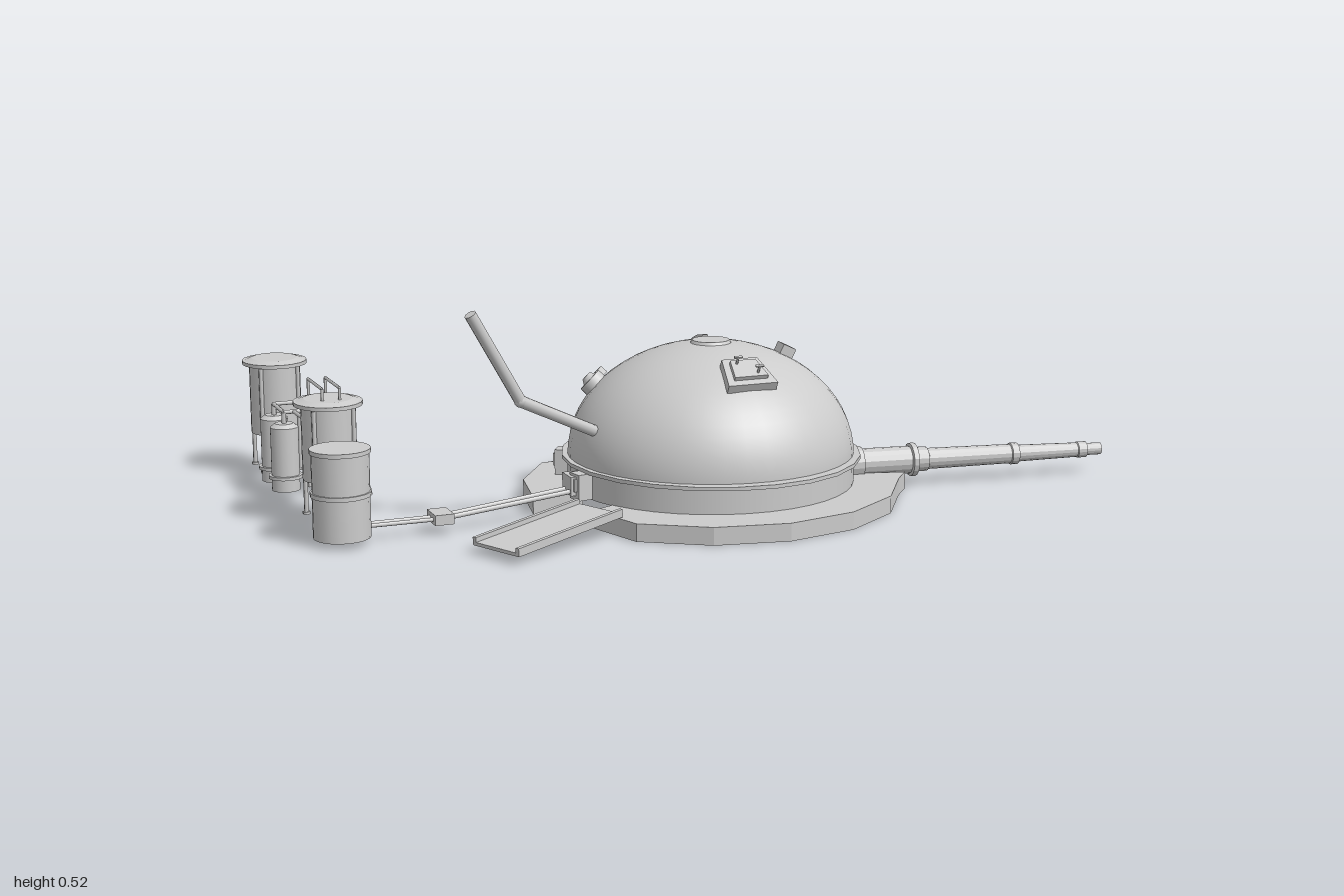
import * as THREE from 'three';

const V = (x, y, z) => new THREE.Vector3(x, y, z);
const smooth = new THREE.MeshStandardMaterial({ color: 0xcccccc });
const flat = new THREE.MeshStandardMaterial({ color: 0xcccccc, flatShading: true });
const CZ = 0.125, R = 0.345, H = 0.27, Y0 = 0.11; // dome centre, radius, height, spring line

function add(parent, name, geo, x = 0, y = 0, z = 0, mat = smooth) {
  const m = new THREE.Mesh(geo, mat);
  m.name = name;
  m.position.set(x, y, z);
  parent.add(m);
  return m;
}
const box = (p, name, w, h, d, x, y, z) => add(p, name, new THREE.BoxGeometry(w, h, d), x, y, z, flat);
const cyl = (p, name, r, y0, y1, x, z, r2 = r, n = 20) =>
  add(p, name, new THREE.CylinderGeometry(r2, r, y1 - y0, n), x, (y0 + y1) / 2, z);

// Cylinder between two points
function rod(p, name, a, b, r, n = 8) {
  const m = add(p, name, new THREE.CylinderGeometry(r, r, a.distanceTo(b), n));
  m.position.copy(a).add(b).multiplyScalar(0.5);
  m.quaternion.setFromUnitVectors(V(0, 1, 0), b.clone().sub(a).normalize());
  return m;
}

// Group standing on the dome surface at x, z
function onDome(p, name, x, z) {
  const g = new THREE.Group(), dz = z - CZ;
  const h = H * Math.sqrt(1 - (x * x + dz * dz) / (R * R));
  g.name = name;
  g.position.set(x, Y0 + h, z);
  g.quaternion.setFromUnitVectors(V(0, 1, 0), V(x / R / R, h / H / H, dz / R / R).normalize());
  p.add(g);
  return g;
}

// Group on the skirt wall, its z axis pointing outward; angle from the back, towards +x
function onSkirt(p, name, deg, r = R) {
  const a = deg * Math.PI / 180, g = new THREE.Group();
  g.name = name;
  g.position.set(r * Math.sin(a), 0, CZ - r * Math.cos(a));
  g.rotation.y = Math.PI - a;
  p.add(g);
  return g;
}

// Half of the angular base: a raised rim with a floor beneath
function baseHalf(p, name, first, last, d0, d1, drop) {
  const outer = [first], inner = [];
  for (let d = d0; d <= d1; d += 22.5) {
    const a = d * Math.PI / 180;
    outer.push([0.455 * Math.sin(a), 0.13 - 0.45 * Math.cos(a)]);
  }
  outer.push(last);
  for (const [x, z] of outer) {
    const k = 0.33 / Math.hypot(x, z - CZ);
    inner.unshift([x * k, CZ + (z - CZ) * k]);
  }
  const shape = (pts) => new THREE.Shape(pts.map(([x, z]) => new THREE.Vector2(x, z)));
  const rim = new THREE.ExtrudeGeometry(shape([...outer, ...inner]), { depth: 0.042, bevelEnabled: false });
  rim.rotateX(Math.PI / 2).translate(0, 0.042, 0);
  const pos = rim.attributes.position;
  for (let i = 0; i < pos.count; i++) { // the back rim slopes down
    const x = pos.getX(i), z = pos.getZ(i);
    if (drop && pos.getY(i) > 0.02 && z < -0.2 && Math.hypot(x, z - CZ) > 0.4) pos.setY(i, 0.018);
  }
  rim.computeVertexNormals();
  add(p, name + 'Rim', rim, 0, 0, 0, flat);
  add(p, name + 'Floor', new THREE.ShapeGeometry(shape(outer)).rotateX(Math.PI / 2), 0, 0.001, 0, flat);
}

// Tank raised on four legs
function leggedTank(p, name, x, z) {
  const g = new THREE.Group();
  g.name = name;
  g.position.set(x, 0, z);
  g.scale.x = 0.92;
  p.add(g);
  cyl(g, 'tankBody', 0.068, 0.11, 0.285, 0, 0);
  cyl(g, 'tankLid', 0.086, 0.283, 0.292, 0, 0);
  cyl(g, 'tankCrown', 0.08, 0.292, 0.298, 0, 0, 0.06);
  for (const sx of [-1, 1]) for (const sz of [-1, 1]) {
    cyl(g, 'tankLeg', 0.006, 0.02, 0.28, sx * 0.05, sz * 0.05, 0.006, 6);
    cyl(g, 'tankFoot', 0.01, 0.017, 0.023, sx * 0.05, sz * 0.05, 0.01, 6);
  }
  return g;
}

export function createModel() {
  const root = new THREE.Group();
  root.name = 'domeOutpost';

  // Base in two halves, with a passage between them
  baseHalf(root, 'backBase', [-0.455, 0.13], [0.467, 0.165], -67.5, 67.5, true);
  baseHalf(root, 'frontBase', [0.465, 0.25], [-0.37, 0.3], 112.5, 225, false);

  // Skirt, flange, dome and cap
  add(root, 'skirt', new THREE.CylinderGeometry(R, R, 0.07, 40, 1, true), 0, 0.075, CZ);
  add(root, 'flange', new THREE.CylinderGeometry(0.375, 0.375, 0.009, 24), 0, 0.108, CZ).scale.x = 0.955;
  add(root, 'dome', new THREE.SphereGeometry(1, 40, 16, 0, Math.PI * 2, 0, Math.PI / 2), 0, Y0, CZ).scale.set(R, H, R);
  cyl(root, 'domeCap', 0.053, 0.37, 0.384, 0, CZ, 0.045);

  // Raised seam running from the cap down the back
  const seam = new THREE.Shape();
  seam.absellipse(0, 0, R + 0.015, H + 0.009, 0.05, 1.42, false);
  seam.absellipse(0, 0, R - 0.01, H - 0.01, 1.42, 0.05, true);
  const seamGeo = new THREE.ExtrudeGeometry(seam, { depth: 0.014, bevelEnabled: false, curveSegments: 20 });
  add(root, 'domeSeam', seamGeo.translate(0, 0, -0.007), 0, Y0, CZ, flat).rotation.y = 1.4;

  // Front hatch with two short aerials
  const hatch = onDome(root, 'hatch', 0, 0.325);
  const plate = (w0, w1, d) => new THREE.Shape([[-w0, d], [w0, d], [w1, -d], [-w1, -d]].map(([a, b]) => new THREE.Vector2(a, -b)));
  const plateGeo = (w0, w1, d, h) => new THREE.ExtrudeGeometry(plate(w0, w1, d), { depth: h, bevelEnabled: false }).rotateX(-Math.PI / 2);
  add(hatch, 'hatchFrame', plateGeo(0.062, 0.045, 0.047, 0.022), 0, -0.006, 0, flat);
  add(hatch, 'hatchPanel', plateGeo(0.042, 0.032, 0.03, 0.01), 0, 0.016, 0, flat);
  for (const s of [-1, 1]) {
    cyl(hatch, 'hatchAerial', 0.003, 0.01, 0.045, s * 0.02, s * 0.018, 0.003, 6);
    box(hatch, 'aerialBar', 0.02, 0.004, 0.006, s * 0.02, 0.045, s * 0.018);
  }

  // Roof vent and round port
  box(onDome(root, 'roofVent', 0.18, 0.15), 'ventBox', 0.036, 0.03, 0.036, 0, 0.008, 0);
  const port = onDome(root, 'port', -0.245, -0.01);
  cyl(port, 'portCollar', 0.032, -0.015, 0.018, 0, 0);
  cyl(port, 'portGlass', 0.02, 0.018, 0.03, 0, 0, 0.012);
  box(port, 'portHinge', 0.02, 0.02, 0.03, 0.03, 0.01, 0);

  // Service lockers round the skirt
  for (const deg of [-100, -58, 51, 65]) {
    const g = onSkirt(root, 'locker', deg, 0.36);
    box(g, 'lockerBody', 0.042, 0.062, 0.04, 0, 0.073, 0);
    box(g, 'lockerDoor', 0.026, 0.03, 0.008, 0, 0.078, 0.022);
  }
  for (const deg of [-8, 5, 19]) {
    const g = onSkirt(root, 'rearVent', deg, 0.335);
    box(g, 'ventBody', 0.06, 0.036, 0.055, 0, 0.148, 0);
    box(g, 'ventDuct', 0.025, 0.09, 0.03, 0, 0.09, 0.02);
  }

  // Long stepped barrel on the left
  const profile = [[0, 0], [0.04, 0], [0.04, 0.05], [0.034, 0.052], [0.034, 0.175], [0.041, 0.177], [0.041, 0.19],
    [0.03, 0.192], [0.03, 0.22], [0.026, 0.222], [0.024, 0.44], [0.027, 0.442], [0.027, 0.46], [0.021, 0.462],
    [0.018, 0.62], [0.02, 0.622], [0.02, 0.645], [0.015, 0.647], [0.015, 0.685], [0, 0.685]];
  const barrel = add(root, 'barrel', new THREE.LatheGeometry(profile.map(([r, y]) => new THREE.Vector2(r, y)), 16), 0.32, 0.063, 0.19, flat);
  barrel.quaternion.setFromUnitVectors(V(0, 1, 0), V(0.68, -0.002, 0.1).normalize());

  // Bent mast on the right
  const mast = [V(-0.3, 0.19, 0.175), V(-0.515, 0.295, 0.225), V(-0.64, 0.508, 0.255)];
  rod(root, 'mastLower', mast[0], mast[1], 0.014, 10);
  rod(root, 'mastUpper', mast[1], mast[2], 0.014, 10);
  add(root, 'mastElbow', new THREE.SphereGeometry(0.015, 10, 8)).position.copy(mast[1]);
  add(root, 'mastSocket', new THREE.SphereGeometry(0.027, 12, 8)).position.copy(mast[0]);

  // Entry ramp with side curbs
  const ramp = new THREE.Group();
  ramp.name = 'ramp';
  ramp.position.set(-0.51, 0.036, 0.395);
  ramp.lookAt(-0.51 - 0.285, 0.036 - 0.025, 0.395 + 0.132);
  root.add(ramp);
  box(ramp, 'rampDeck', 0.145, 0.008, 0.325, 0, 0, 0);
  for (const s of [-1, 1]) box(ramp, 'rampCurb', 0.01, 0.018, 0.325, s * 0.068, 0.006, 0);

  // Twin supply lines with a junction
  for (const s of [-1, 1]) {
    const mid = V(-0.7, 0.034, 0.195 + s * 0.012);
    rod(root, 'supplyLine', V(-0.34, 0.065, 0.168 + s * 0.016), mid, 0.006);
    rod(root, 'supplyLine', mid, V(-0.9, 0.038, 0.207 + s * 0.01), 0.005);
  }
  box(root, 'lineJunction', 0.045, 0.024, 0.066, -0.7, 0.036, 0.195);
  box(root, 'lineInlet', 0.05, 0.045, 0.06, -0.36, 0.075, 0.168);

  // Standing tank
  cyl(root, 'standingTank', 0.065, 0.016, 0.218, -0.932, 0.205);
  for (const y of [0.112, 0.21]) cyl(root, 'tankBand', 0.069, y, y + 0.01, -0.932, 0.205);

  // Legged tanks, the nearer with a rail on its lid
  leggedTank(root, 'rearTank', -0.912, -0.505);
  const near = leggedTank(root, 'nearTank', -0.912, 0.03);
  for (const s of [-1, 1]) {
    const a = V(s * 0.022, 0.29, 0.03), b = V(s * 0.022, 0.325, 0.03), c = V(s * 0.022, 0.325, -0.1), d = V(s * 0.022, 0.1, -0.1);
    rod(near, 'lidRail', a, b, 0.004, 6);
    rod(near, 'lidRail', b, c, 0.004, 6);
    rod(near, 'ladderRail', c, d, 0.004, 6);
  }
  for (let y = 0.12; y < 0.29; y += 0.035) rod(near, 'ladderRung', V(-0.022, y, -0.1), V(0.022, y, -0.1), 0.003, 6);
  box(near, 'pumpBox', 0.075, 0.05, 0.045, 0, 0.1, -0.09);

  // Four gas bottles joined by a pipe frame
  const xs = [-0.95, -0.842], zs = [-0.36, -0.255];
  for (const x of xs) for (const z of zs) {
    cyl(root, 'bottle', 0.034, 0.02, 0.175, x, z, 0.034, 16);
    cyl(root, 'bottleShoulder', 0.034, 0.175, 0.184, x, z, 0.022, 16);
    cyl(root, 'bottleBand', 0.041, 0.05, 0.058, x, z, 0.041, 16);
    cyl(root, 'bottleValve', 0.006, 0.18, 0.21, x, z, 0.006, 8);
  }
  for (const x of xs) rod(root, 'bottlePipe', V(x, 0.21, zs[0]), V(x, 0.21, zs[1]), 0.005);
  for (const z of zs) rod(root, 'bottlePipe', V(xs[0], 0.21, z), V(xs[1], 0.21, z), 0.005);
  rod(root, 'feedPipe', V(-0.925, 0.21, -0.255), V(-0.915, 0.21, -0.02), 0.005);

  return root;
}
